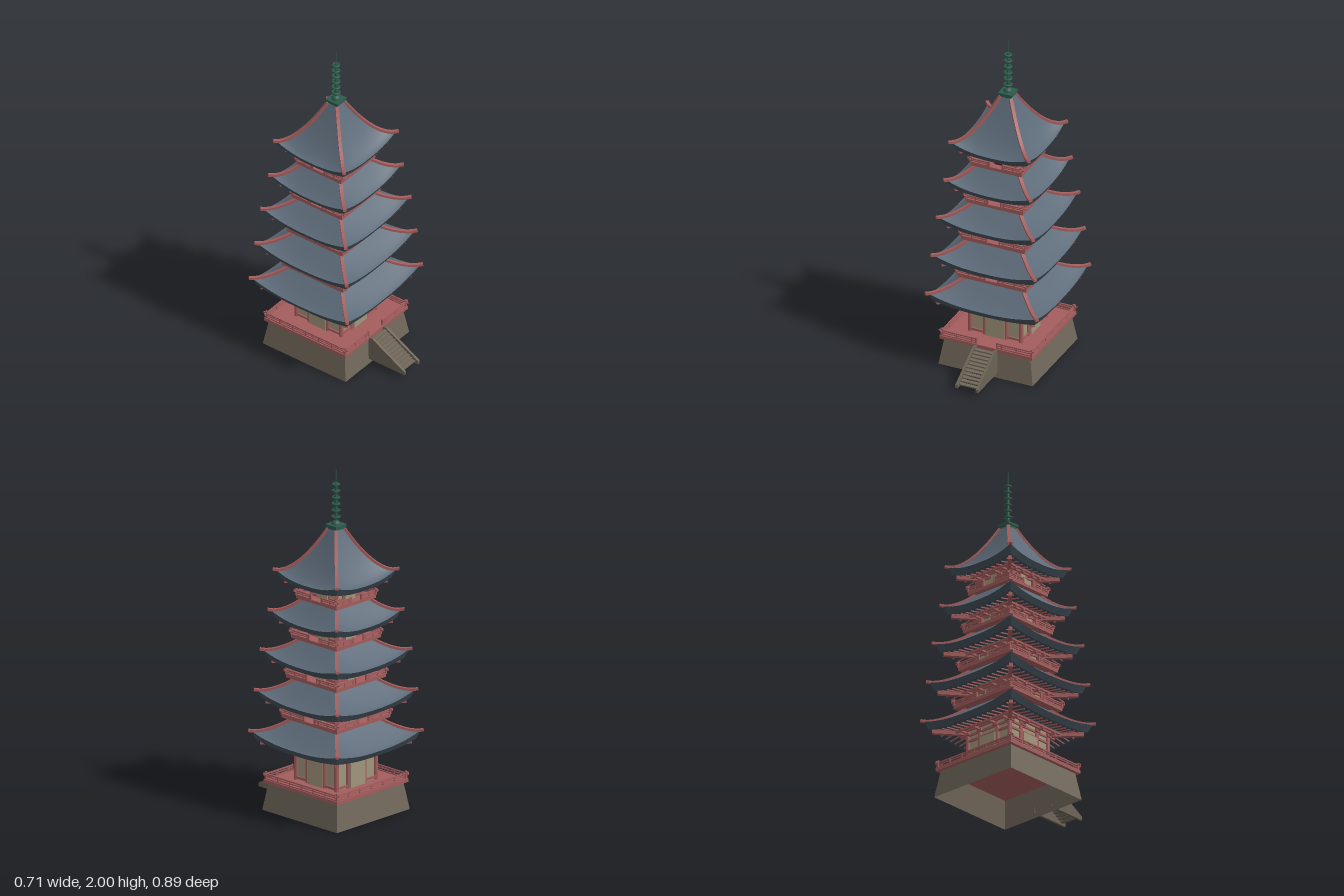
import * as THREE from 'three';

const mat = (color) => new THREE.MeshStandardMaterial({ color });
const M = {
  slate: mat(0x5c6a78), dark: mat(0x3f4b55), red: mat(0xa35c5c), beige: mat(0xa1967c),
  stone: mat(0x71685a), wood: mat(0x6b6254), green: mat(0x2c5a4c), door: mat(0x5c1a1c),
};
const openStone = mat(0x71685a);
openStone.side = THREE.DoubleSide;
const CZ = -0.09; // tower axis

function add(parent, geo, material, name, x = 0, y = 0, z = 0) {
  const m = new THREE.Mesh(geo, material);
  m.name = name;
  m.position.set(x, y, z);
  parent.add(m);
  return m;
}
const box = (p, name, material, w, h, d, x, y, z) =>
  add(p, new THREE.BoxGeometry(w, h, d), material, name, x, y, z);

// square bar between two points
function beam(p, name, material, a, b, w, h) {
  const m = new THREE.Mesh(new THREE.BoxGeometry(w, h, a.distanceTo(b)), material);
  m.name = name;
  m.position.copy(a).lerp(b, 0.5);
  m.lookAt(b);
  p.add(m);
}

// curved sheet: f(u in -1..1, v in 0..1) gives a point
function sheet(p, name, material, f, nu, nv) {
  const g = new THREE.PlaneGeometry(2, 1, nu, nv), pos = g.attributes.position;
  for (let i = 0; i < pos.count; i++) {
    const q = f(pos.getX(i), pos.getY(i) + 0.5);
    pos.setXYZ(i, q.x, q.y, q.z);
  }
  g.computeVertexNormals();
  add(p, g, material, name);
}

// build one side facing +z, four times round
function fourSides(parent, name, build) {
  for (let k = 0; k < 4; k++) {
    const side = new THREE.Group();
    side.name = name;
    side.rotation.y = k * Math.PI / 2;
    build(side, k);
    parent.add(side);
  }
}

const V = (x, y, z) => new THREE.Vector3(x, y, z);
const lerp = THREE.MathUtils.lerp;

function roof(parent, { eave, y, top, topY, wall, power }) {
  const inset = 0.018;
  const lift = (u) => 0.042 * Math.abs(u) ** 2.5;
  const tile = (u, v) => {
    const h = lerp(eave, top, v);
    return V(u * h, y + (topY - y) * v ** power + lift(u) * (1 - v) ** 2, h);
  };
  const low = (u) => y - 0.032 + lift(u) * 0.6; // lower edge of the eave
  const soffit = (u, v) => {
    const h = lerp(wall, eave - inset, v);
    return V(u * h, lerp(y - 0.005, low(u), v), h);
  };
  fourSides(parent, 'roofSide', (s) => {
    sheet(s, 'roofTiles', M.slate, tile, 20, 14);
    sheet(s, 'eaveEdge', M.dark, (u, v) => {
      const h = eave - inset * (1 - v);
      return V(u * h, lerp(low(u), y + lift(u), v), h);
    }, 20, 1);
    sheet(s, 'soffit', M.dark, soffit, 20, 4);
    // rafters under the eave
    const n = Math.round(eave * 50);
    for (let i = 0; i < n; i++) {
      const x = lerp(-0.9, 0.9, i / (n - 1)) * eave;
      const inner = Math.max(wall, Math.abs(x));
      const at = (z) => soffit(x / z, (z - wall) / (eave - inset - wall)).add(V(0, -0.004, 0));
      if (eave - 0.035 - inner > 0.01) beam(s, 'rafter', M.red, at(inner), at(eave - 0.035), 0.005, 0.007);
    }
    // stepped bracket beams and arms
    for (let i = 0; i < 2; i++) {
      const r = wall + 0.015 + i * 0.03;
      box(s, 'bracketBeam', M.red, 2 * r, 0.012, 0.012, 0, y - 0.022 - i * 0.002, r);
    }
    for (const t of [-0.92, -0.36, 0.36, 0.92]) {
      box(s, 'bracketArm', M.red, 0.012, 0.012, 0.055, t * wall, y - 0.032, wall + 0.022);
      box(s, 'bracketBlock', M.red, 0.034, 0.012, 0.012, t * wall, y - 0.04, wall + 0.006);
    }
    // hip rafter and red hip ridge at the corner
    const c = eave - 0.033;
    beam(s, 'hipRafter', M.red, V(wall, y - 0.028, wall), V(c, low(1) - 0.013, c), 0.022, 0.024);
    const N = 14;
    let prev = tile(1, 0).add(V(0.013, 0.005, 0.013));
    for (let i = 0; i <= N; i++) {
      const q = tile(1, i / N).add(V(0, 0.002, 0));
      beam(s, 'hipRidge', M.red, prev, q, 0.019, 0.014);
      prev = q;
    }
  });
}

// railing with crossing corners; gaps[k] opens the middle of side k
function railing(parent, half, y, h, gaps) {
  fourSides(parent, 'railing', (s, k) => {
    const g = gaps[k], end = half + 0.02;
    for (const [f, t] of [[1, 0.008], [0.6, 0.006], [0.2, 0.007]]) {
      const e = f === 1 ? end : half;
      const spans = g ? [[-e, -g], [g, e]] : [[-e, e]];
      for (const [a, b] of spans) box(s, 'rail', M.red, b - a, t, t, (a + b) / 2, y + h * f - t / 2, half);
    }
    const n = 6;
    for (let i = 0; i <= n; i++) {
      const x = lerp(-half, half, i / n);
      if (Math.abs(x) < g) continue;
      const corner = i === 0 || i === n, t = corner ? 0.012 : 0.007, ph = corner ? h + 0.01 : h;
      box(s, 'railPost', M.red, t, ph, t, x, y + ph / 2, half);
    }
    if (g) for (const x of [-g, g]) box(s, 'gatePost', M.red, 0.01, h + 0.006, 0.01, x, y + h / 2, half);
  });
}

function storey(parent, half, y0, y1, ground) {
  const h = y1 - y0, ym = (y0 + y1) / 2;
  box(parent, 'wallCore', M.beige, 2 * half - 0.02, h, 2 * half - 0.02, 0, ym, 0);
  fourSides(parent, 'wallSide', (s, k) => {
    const r = ground ? 0.013 : 0.01;
    for (const t of [-1, -0.42, 0.42, 1])
      add(s, new THREE.CylinderGeometry(r, r, h, 10), M.red, 'column', t * (half - 0.009), ym, half - 0.009);
    for (const f of ground ? [0.06, 0.67, 0.82] : [0.08, 0.72])
      box(s, 'wallBeam', M.red, 2 * half, 0.013, 0.012, 0, y0 + f * h, half - 0.007);
    if (ground) {
      const ph = k === 0 ? 0.125 : 0.155;
      box(s, 'doorPanel', M.beige, 0.114, ph, 0.014, 0, y0 + ph / 2, half);
    } else {
      box(s, 'wallPanel', M.beige, 0.08, h * 0.85, 0.014, 0, y0 + h * 0.425, half);
      if (k === 0) {
        // arched doorway
        const a = new THREE.Shape(), w = 0.027;
        a.moveTo(-w, 0).lineTo(w, 0).lineTo(w, 0.035);
        a.absarc(0, 0.035, w, 0, Math.PI);
        const g = new THREE.ExtrudeGeometry(a, { depth: 0.008, bevelEnabled: false, curveSegments: 12 });
        add(s, g, M.door, 'archDoor', 0, y0, half + 0.003);
      }
    }
  });
}

function finial(parent) {
  const f = new THREE.Group();
  f.name = 'finial';
  box(f, 'finialBase', M.green, 0.066, 0.03, 0.066, 0, 1.655, 0);
  box(f, 'finialSlab', M.green, 0.084, 0.014, 0.084, 0, 1.67, 0);
  add(f, new THREE.SphereGeometry(0.026, 20, 8, 0, Math.PI * 2, 0, Math.PI / 2), M.green, 'finialDome', 0, 1.675, 0);
  add(f, new THREE.CylinderGeometry(0.007, 0.009, 0.24, 10), M.green, 'finialPole', 0, 1.8, 0);
  add(f, new THREE.CylinderGeometry(0.002, 0.004, 0.09, 8), M.green, 'finialTip', 0, 1.955, 0);
  for (let i = 0; i < 6; i++) {
    const y = 1.72 + i * 0.038, r = 0.026 - i * 0.0006;
    add(f, new THREE.TorusGeometry(r - 0.005, 0.006, 6, 20).rotateX(Math.PI / 2), M.green, 'finialRing', 0, y, 0);
    for (let k = 0; k < 4; k++)
      box(f, 'ringSpoke', M.green, 2 * r - 0.006, 0.006, 0.004, 0, y, 0).rotation.y = k * Math.PI / 4;
  }
  parent.add(f);
}

function stairs(parent) {
  const s = new THREE.Group();
  s.name = 'stairs';
  const p = new THREE.Shape([[0.443, 0.027], [0.443, 0.048], [0.22, 0.175], [0.19, 0.175], [0.19, 0.027]]
    .map(([z, y]) => new THREE.Vector2(-z, y)));
  for (const x of [-0.063, 0.063]) {
    const g = new THREE.ExtrudeGeometry(p, { depth: 0.014, bevelEnabled: false });
    g.translate(0, 0, -0.007).rotateY(Math.PI / 2);
    add(s, g, M.wood, 'stringer', x);
  }
  for (let i = 0; i < 11; i++)
    box(s, 'step', M.stone, 0.114, 0.007, 0.024, 0, 0.042 + i * 0.0118, 0.411 - i * 0.0195);
  parent.add(s);
}

export function createModel() {
  const model = new THREE.Group();
  const tower = new THREE.Group();
  tower.name = 'tower';
  tower.position.z = CZ;
  model.add(tower);

  // hollow tapered stone base, deck and railing
  const base = new THREE.CylinderGeometry(0.265 * Math.SQRT2, 0.29 * Math.SQRT2, 0.16, 4, 1, true).toNonIndexed();
  base.rotateY(Math.PI / 4).computeVertexNormals();
  add(tower, base, openStone, 'base', 0, 0.08, 0);
  box(tower, 'deck', M.red, 0.57, 0.02, 0.57, 0, 0.17, 0);
  railing(tower, 0.275, 0.18, 0.034, [0.065, 0, 0, 0]);

  // storeys from the ground up
  const eaves = [0.332, 0.31, 0.287, 0.256, 0.236];
  const walls = [0.165, 0.14, 0.125, 0.11, 0.105];
  const edgeY = [0.42, 0.66, 0.898, 1.13, 1.367];
  const floors = [0.18, 0.56, 0.795, 1.028, 1.26];
  const rails = [0, 0.212, 0.194, 0.174, 0.155];
  for (let i = 0; i < 5; i++) {
    const last = i === 4;
    storey(tower, walls[i], floors[i], edgeY[i], i === 0);
    roof(tower, {
      eave: eaves[i], y: edgeY[i], wall: walls[i], power: last ? 1.55 : 1.25,
      top: last ? 0.033 : walls[i + 1] + 0.02, topY: last ? 1.65 : floors[i + 1] - 0.015,
    });
    if (i > 0) {
      const w = 2 * rails[i];
      box(tower, 'balcony', M.red, w + 0.004, 0.018, w + 0.004, 0, floors[i] - 0.009, 0);
      railing(tower, rails[i], floors[i], 0.03, [0.042, 0.042, 0.042, 0.042]);
    }
  }
  finial(tower);
  stairs(model);
  return model;
}
